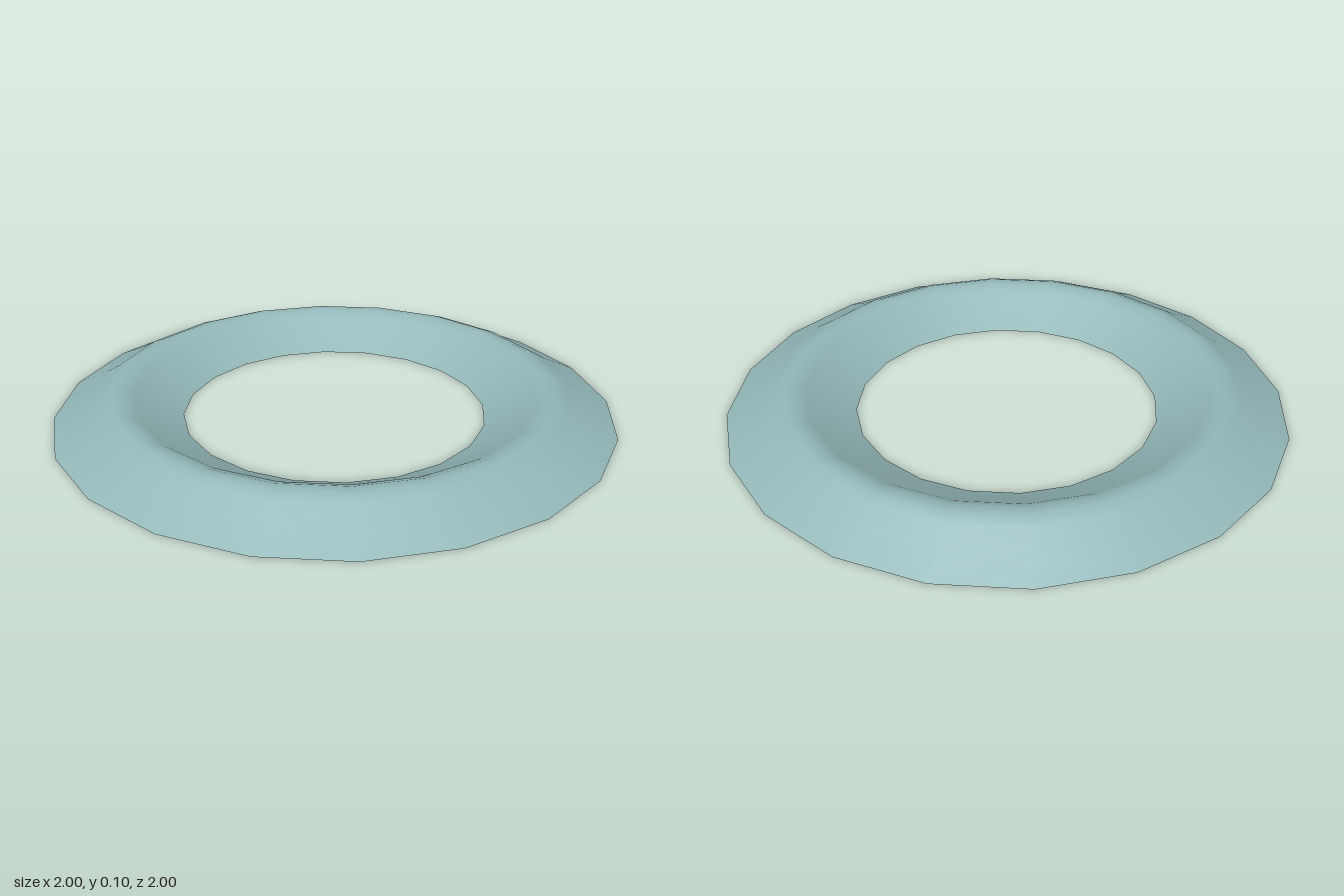
import * as THREE from 'three';

export function createModel() {
  const group = new THREE.Group();
  group.name = 'ring';

  // Half of the ridge: offset from the crest radius, height
  const crest = 0.77;
  const half = [[0.23, 0], [0.105, 0.06], [0.056, 0.09], [0.018, 0.105]];

  // Outer slope up to the crest, then mirrored down to the inner rim
  const profile = [
    ...half.map(([d, y]) => new THREE.Vector2(crest + d, y)),
    ...[...half].reverse().map(([d, y]) => new THREE.Vector2(crest - d, y)),
  ];

  // Open shell, hollow underneath
  const shell = new THREE.Mesh(
    new THREE.LatheGeometry(profile, 20),
    new THREE.MeshStandardMaterial({ color: 0x94b8b9, side: THREE.DoubleSide })
  );
  shell.name = 'raisedRing';
  group.add(shell);
  return group;
}
